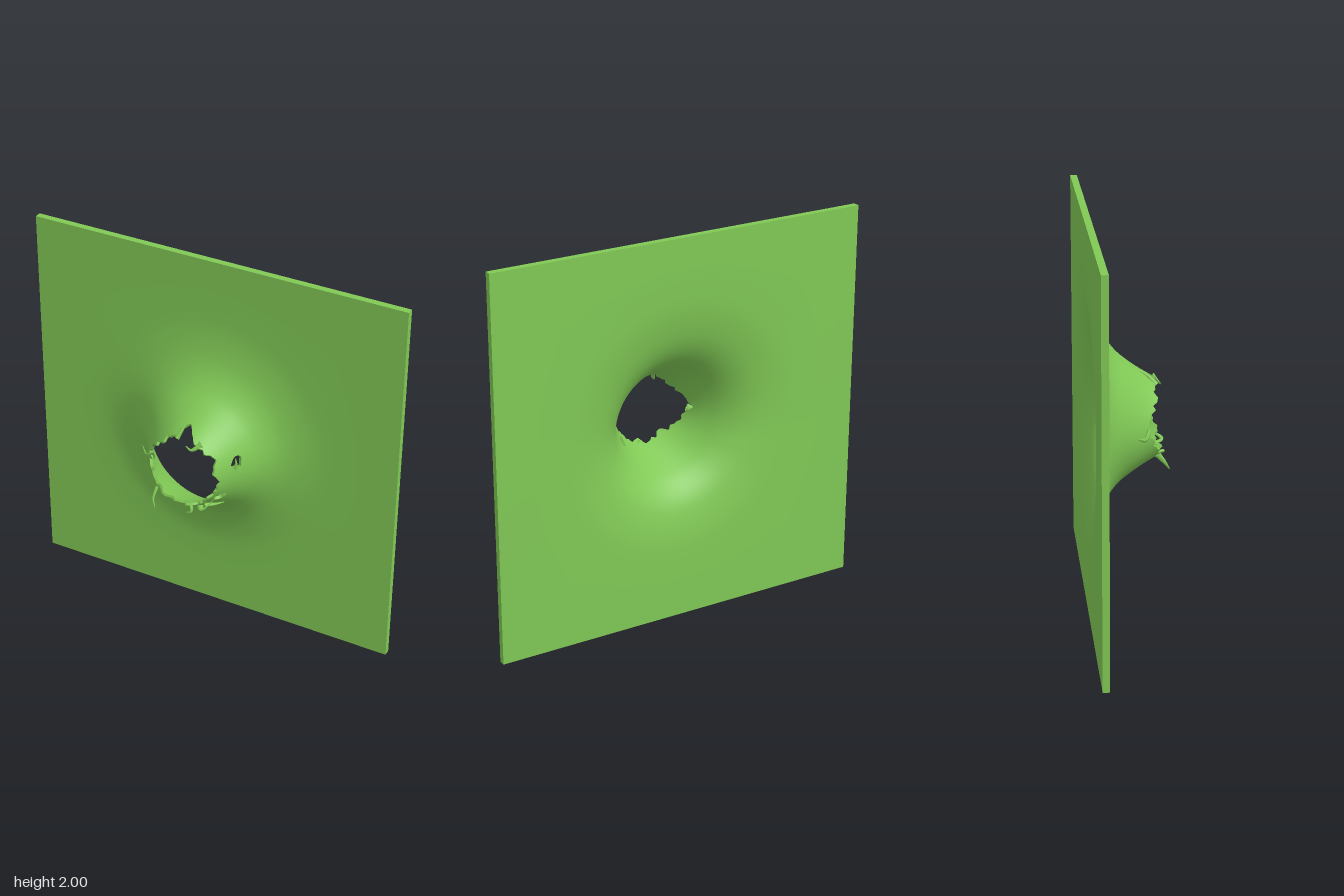
import * as THREE from 'three';
import { toCreasedNormals } from 'three/addons/utils/BufferGeometryUtils.js';

const SECTORS = 144, CURVED = 48, FLAT = 4, RINGS = CURVED + FLAT;
const rad = THREE.MathUtils.degToRad;
const smooth = THREE.MathUtils.smoothstep;

// radius / depth profile of the bulge, from the torn tip out to the flat sheet
const profile = new THREE.SplineCurve([
  [0.172, 0.21], [0.197, 0.15], [0.235, 0.08], [0.287, 0], [0.335, -0.06],
  [0.4, -0.11], [0.48, -0.142], [0.6, -0.164], [0.75, -0.17],
].map(([r, z]) => new THREE.Vector2(r, z)));

// depth at which the rim is torn off, every 15 degrees counter-clockwise from +x
const rim = [0.14, 0.17, 0.13, 0.15, 0.16, 0.14, 0.07, 0.13, 0.13, 0.14, 0.12, 0.1,
  0.07, 0.11, 0.13, 0.15, 0.18, 0.16, 0.15, 0.18, 0.15, 0.17, 0.16, 0.14];

// small punctures: centre and half size in sectors and rings
const holes = [
  { j: 6, i: 9, w: 3, h: 2 },
  { j: 130, i: 5, w: 3, h: 2 },
];

function rimStart(a) {
  const k = ((a / (Math.PI * 2)) * 24 + 48) % 24;
  const n = Math.floor(k), f = smooth(k - n, 0, 1);
  const z = THREE.MathUtils.lerp(rim[n], rim[(n + 1) % 24], f);
  const jag = 0.006 * Math.sin(a * 17) + 0.004 * Math.sin(a * 31 + 1);
  return Math.max(0, (0.21 - z - jag) * 1.45);
}

// offset from a hole centre in units of its half size
function holeOffset(hole, i, j) {
  const dj = ((j - hole.j + SECTORS * 1.5) % SECTORS) - SECTORS / 2;
  return [dj / hole.w, (i - hole.i) / hole.h];
}

// front and back point of the sheet at a grid position
function sheetPoint(i, j) {
  for (const hole of holes) { // round off the square opening
    const [u, v] = holeOffset(hole, i, j);
    const d = Math.max(Math.abs(u), Math.abs(v));
    if (d > 0 && d < 2) {
      const k = THREE.MathUtils.lerp(d / Math.hypot(u, v), 1, Math.max(0, d - 1));
      j = hole.j + u * k * hole.w;
      i = hole.i + v * k * hole.h;
      break;
    }
  }
  const a = (j / SECTORS) * Math.PI * 2, c = Math.cos(a), s = Math.sin(a);
  const t0 = rimStart(a);
  const t = Math.min(1, t0 + (1 - t0) * (i / CURVED));
  const p = profile.getPointAt(t), tan = profile.getTangentAt(t);
  // gentler slope to the upper left, with the mouth pinched there
  const lean = Math.max(0, Math.cos(a - rad(115)));
  const pinch = Math.max(0, Math.cos(a - rad(138))) ** 4;
  let r = p.x * (0.985 + 0.075 * lean * smooth(p.x, 0.2, 0.45)
    - 0.14 * pinch * (1 - smooth(p.x, 0.17, 0.33)));
  if (i > CURVED) {
    const border = 1 / Math.max(Math.abs(c), Math.abs(s));
    r = THREE.MathUtils.lerp(r, border, (i - CURVED) / FLAT);
  }
  const thick = THREE.MathUtils.lerp(0.012, 0.035, smooth(t, 0, 0.6));
  const n = t > 0.999 ? [0, 1] : [-tan.y, tan.x];
  const rb = r - n[0] * thick;
  return [
    [c * r, 1 + s * r, p.y],
    [c * rb, 1 + s * rb, p.y - n[1] * thick],
  ];
}

function sheetGeometry() {
  const grid = [];
  for (let i = 0; i <= RINGS; i++) {
    grid.push([]);
    for (let j = 0; j < SECTORS; j++) grid[i].push(sheetPoint(i, j));
  }
  const at = (i, j) => grid[i][(j + SECTORS) % SECTORS];
  const kept = (i, j) => i >= 0 && i < RINGS && !holes.some((h) => {
    const [u, v] = holeOffset(h, i + 0.5, j + 0.5);
    return Math.abs(u) < 1 && Math.abs(v) < 1;
  });
  const pos = [];
  const quad = (a, b, c, d) => pos.push(...a, ...b, ...c, ...a, ...c, ...d);
  for (let i = 0; i < RINGS; i++) {
    for (let j = 0; j < SECTORS; j++) {
      if (!kept(i, j)) continue;
      const q = [at(i, j), at(i + 1, j), at(i + 1, j + 1), at(i, j + 1)];
      quad(...q.map((p) => p[0]));
      quad(...q.map((p) => p[1]).reverse());
      // close the thickness wherever the neighbouring cell is missing
      [[i, j - 1], [i + 1, j], [i, j + 1], [i - 1, j]].forEach(([ni, nj], k) => {
        if (kept(ni, nj)) return;
        const a = q[k], b = q[(k + 1) % 4];
        quad(a[0], a[1], b[1], b[0]);
      });
    }
  }
  const geo = new THREE.BufferGeometry();
  geo.setAttribute('position', new THREE.Float32BufferAttribute(pos, 3));
  return toCreasedNormals(geo, 0.8);
}

// tapering curled strip along a path
function shardGeometry(points, width) {
  const path = new THREE.CatmullRomCurve3(points.map((p) => new THREE.Vector3(...p)));
  const steps = 10, sides = 8;
  const geo = new THREE.TubeGeometry(path, steps, width, sides);
  const pos = geo.attributes.position, v = new THREE.Vector3();
  const frames = path.computeFrenetFrames(steps);
  for (let k = 0; k < pos.count; k++) {
    const s = Math.floor(k / (sides + 1));
    const c = path.getPointAt(s / steps);
    v.fromBufferAttribute(pos, k).sub(c);
    v.addScaledVector(frames.normals[s], -0.5 * v.dot(frames.normals[s]));
    v.multiplyScalar(1 - 0.85 * (s / steps)).add(c);
    pos.setXYZ(k, v.x, v.y, v.z);
  }
  geo.computeVertexNormals();
  return geo;
}

export function createModel() {
  const group = new THREE.Group();
  group.name = 'burstSheet';
  const material = new THREE.MeshStandardMaterial({ color: 0x80c855, side: THREE.DoubleSide });
  const add = (name, geo) => {
    const mesh = new THREE.Mesh(geo, material);
    mesh.name = name;
    group.add(mesh);
  };

  // square sheet with the torn bulge
  add('tornSheet', sheetGeometry());

  // ragged scraps around the tear
  const shards = {
    leftSpur: [[[-0.2, 0.985, 0.09], [-0.25, 0.965, 0.07], [-0.295, 0.985, 0.03]], 0.022],
    lowerRightStrand: [[[-0.15, 0.85, 0.14], [-0.15, 0.8, 0.18], [-0.13, 0.765, 0.2]], 0.016],
    bottomFlap: [[[0.04, 0.82, 0.14], [0.06, 0.785, 0.17], [0.03, 0.77, 0.165]], 0.02],
    lowerLeftCurl: [[[0.1, 0.82, 0.15], [0.13, 0.83, 0.19], [0.165, 0.87, 0.13]], 0.016],
    lowerLeftStrand: [[[0.13, 0.84, 0.15], [0.16, 0.83, 0.11], [0.185, 0.82, 0.06]], 0.016],
    topSpike: [[[-0.035, 1.17, 0.14], [-0.02, 1.215, 0.1], [-0.01, 1.245, 0.05]], 0.018],
    topCurl: [[[0.1, 1.18, 0.14], [0.06, 1.15, 0.17], [0.03, 1.165, 0.17]], 0.016],
    holeScrap: [[[0.225, 1.03, 0.06], [0.245, 1.05, 0.055], [0.24, 1.09, 0.05]], 0.014],
  };
  for (const [name, [points, width]] of Object.entries(shards)) {
    add(name, shardGeometry(points, width));
  }
  return group;
}
